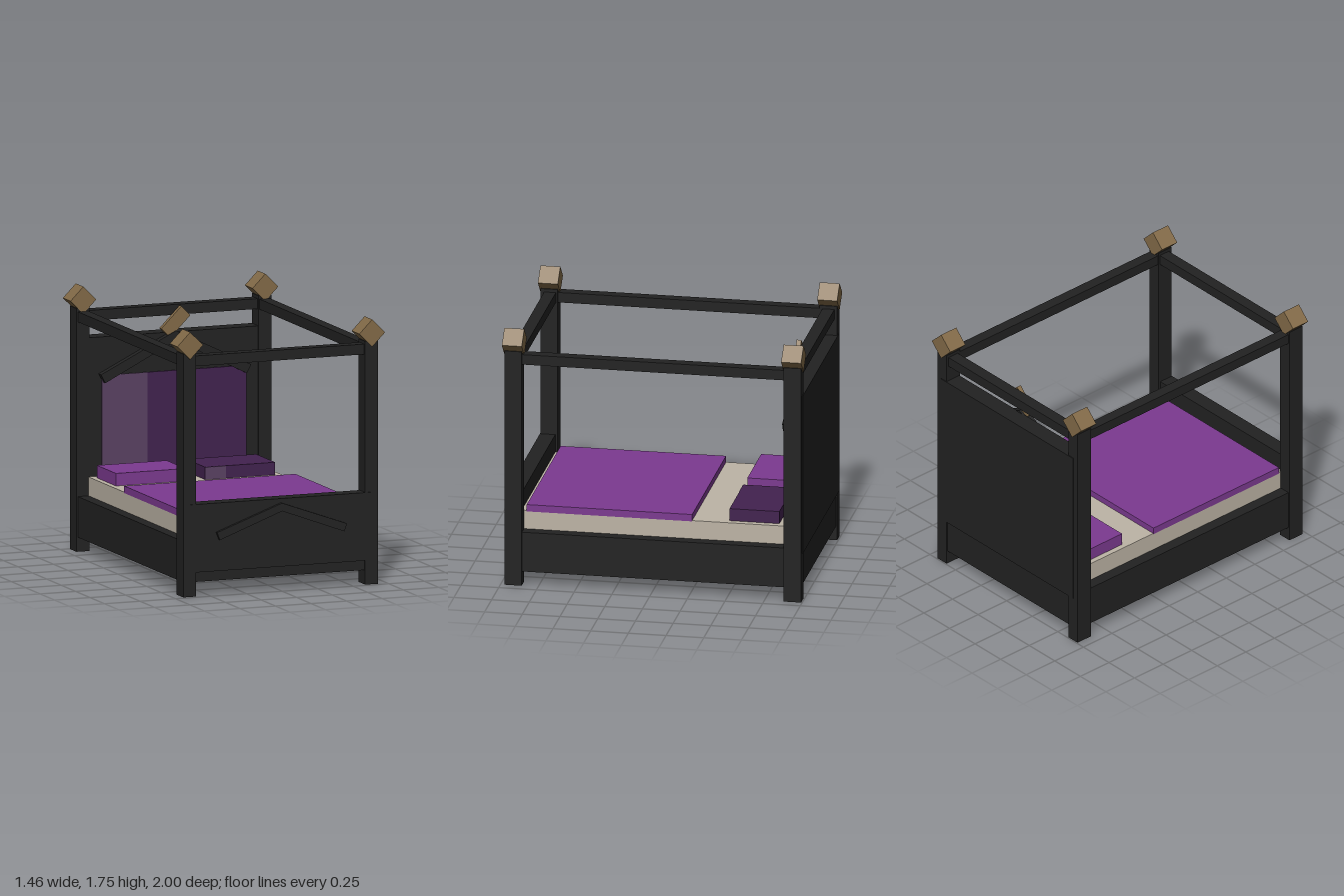
import * as THREE from 'three';

const material = (name, color) => {
  const m = new THREE.MeshStandardMaterial({ color });
  m.name = name;
  return m;
};

export function createModel() {
  const bed = new THREE.Group();
  bed.name = 'canopyBed';

  const black = material('blackWood', 0x222222);
  const gold = material('agedGold', 0x836b48);
  const linen = material('linen', 0xbdb4a6);
  const purple = material('purpleCloth', 0x7c3a90);
  const plum = material('darkPlum', 0x42224f);
  const mauve = material('fadedMauve', 0x5b4263);

  const add = (name, geometry, mat) => {
    const mesh = new THREE.Mesh(geometry, mat);
    mesh.name = name;
    bed.add(mesh);
    return mesh;
  };
  // Box given by its extents along each axis
  const box = (name, mat, [x0, x1], [y0, y1], [z0, z1]) => {
    const mesh = add(name, new THREE.BoxGeometry(x1 - x0, y1 - y0, z1 - z0), mat);
    mesh.position.set((x0 + x1) / 2, (y0 + y1) / 2, (z0 + z1) / 2);
    return mesh;
  };
  // Roof-shaped trim: apex height, outer end and inner end of the arm
  const chevron = (name, top, bottom, outer, inner, z0, z1) => {
    const shape = new THREE.Shape([
      [0, top], [-outer[0], outer[1]], [-inner[0], inner[1]],
      [0, bottom], inner, outer,
    ].map(([x, y]) => new THREE.Vector2(x, y)));
    const geometry = new THREE.ExtrudeGeometry(shape, { depth: z1 - z0, bevelEnabled: false });
    add(name, geometry, black).position.z = z0;
  };

  // Corner posts with diamond caps
  for (const side of [-1, 1]) {
    for (const [end, z0, z1] of [['front', 0.86, 0.973], ['back', -0.993, -0.877]]) {
      const x = side * 0.64;
      box(end + 'Post', black, [x - 0.045, x + 0.045], [0, 1.61], [z0, z1]);
      const mid = end === 'front' ? 0.917 : -0.935;
      const cap = box(end + 'PostCap', gold, [x - 0.064, x + 0.064], [1.599, 1.727], [mid - 0.066, mid + 0.066]);
      cap.rotation.z = Math.PI / 4;
    }
    // Side canopy rails
    const rx = side * 0.638;
    box('sideCanopyRail', black, [rx - 0.037, rx + 0.037], [1.52, 1.588], [-0.9, 0.9]);
  }

  // End canopy rails
  box('frontCanopyRail', black, [-0.62, 0.62], [1.52, 1.588], [0.872, 0.95]);
  box('backCanopyRail', black, [-0.62, 0.62], [1.52, 1.588], [-0.975, -0.895]);

  // Bed base, mattress and blanket
  box('bedBase', black, [-0.675, 0.675], [0.095, 0.365], [-0.985, 0.962]);
  box('mattress', linen, [-0.6, 0.6], [0.36, 0.49], [-0.88, 0.88]);
  box('blanket', purple, [-0.602, 0.602], [0.485, 0.532], [-0.255, 0.842]);

  // Pillows
  box('rightPillow', purple, [-0.563, -0.072], [0.485, 0.573], [-0.825, -0.495]);
  box('leftPillow', plum, [0.065, 0.557], [0.485, 0.573], [-0.825, -0.495]);
  box('leftPillowPatch', mauve, [0.066, 0.21], [0.49, 0.572], [-0.498, -0.492]);

  // Footboard
  box('footboard', black, [-0.645, 0.645], [0.16, 0.61], [0.876, 0.978]);
  chevron('footboardTrim', 0.583, 0.53, [0.457, 0.418], [0.438, 0.367], 0.975, 1);

  // Headboard with two-tone panel
  box('headboard', black, [-0.645, 0.645], [0.325, 1.41], [-0.998, -0.882]);
  box('headboardPanelFaded', mauve, [-0.51, -0.19], [0.4, 1.158], [-0.8745, -0.866]);
  box('headboardPanelDark', plum, [-0.19, 0.507], [0.4, 1.158], [-0.8745, -0.866]);
  box('headboardPanelBacking', black, [-0.508, 0.505], [0.4, 1.156], [-0.89, -0.874]);
  chevron('headboardTrim', 1.425, 1.36, [0.528, 1.167], [0.498, 1.11], -0.89, -0.838);

  // Slanted gold ornament over the headboard trim
  const ornament = box('headboardOrnament', gold, [-0.1, 0.1], [1.437, 1.527], [-0.875, -0.843]);
  ornament.rotation.z = Math.PI / 4;

  return bed;
}
